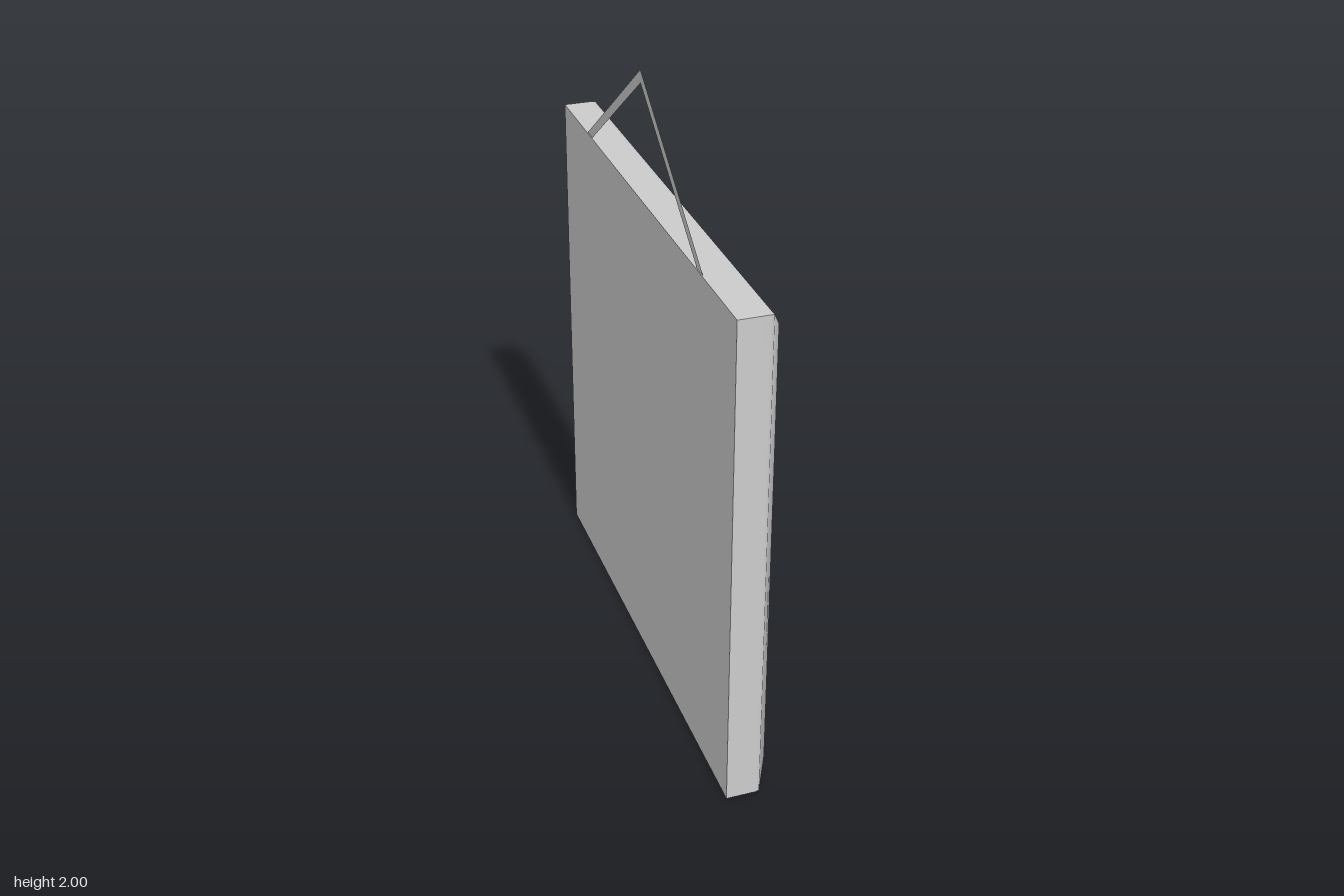
import * as THREE from 'three';
import { toCreasedNormals } from 'three/addons/utils/BufferGeometryUtils.js';

const HALF = 0.803;      // half of the frame's outer size
const BACK = -0.073;     // x of the back face
const OPENING = 0.68;    // half of the picture opening

// Square rings around the x axis, joined in order from back to front
function squareLoft(profile) {
  const corners = [[1, 1], [-1, 1], [-1, -1], [1, -1]]; // (z, y)
  const positions = [];
  const index = [];
  for (const [x, half] of profile) {
    for (const [z, y] of corners) positions.push(x, HALF + y * half, z * half);
  }
  for (let r = 0; r < profile.length - 1; r++) {
    for (let i = 0; i < 4; i++) {
      const a = r * 4 + i;
      const b = r * 4 + (i + 1) % 4;
      index.push(a, a + 4, b, b, a + 4, b + 4);
    }
  }
  const geometry = new THREE.BufferGeometry();
  geometry.setAttribute('position', new THREE.Float32BufferAttribute(positions, 3));
  geometry.setIndex(index);
  return toCreasedNormals(geometry, THREE.MathUtils.degToRad(60));
}

export function createModel() {
  const group = new THREE.Group();
  const material = new THREE.MeshStandardMaterial({ color: 0xcccccc });
  const thin = new THREE.MeshStandardMaterial({ color: 0xcccccc, side: THREE.DoubleSide });

  const add = (name, geometry, mat = material) => {
    const mesh = new THREE.Mesh(geometry, mat);
    mesh.name = name;
    group.add(mesh);
    return mesh;
  };

  // Frame: flat sides, softened bevel, flat front lip and recess wall
  add('frame', squareLoft([
    [BACK, HALF], [0.02, HALF], [0.031, HALF - 0.002],
    [0.071, 0.735], [0.071, OPENING], [0.046, OPENING],
  ]));

  // Picture panel, set back inside the frame
  const picture = add('picture', new THREE.PlaneGeometry(OPENING * 2, OPENING * 2));
  picture.rotation.y = Math.PI / 2;
  picture.position.set(0.046, HALF, 0);

  // Flat back board
  const back = add('backBoard', new THREE.PlaneGeometry(HALF * 2, HALF * 2));
  back.rotation.y = -Math.PI / 2;
  back.position.set(BACK, HALF, 0);

  // Hanging cord: a flat ribbon folded at the apex
  const cord = new THREE.Shape([
    [-0.545, 1.6], [0, 2], [0.555, 1.6], [0.505, 1.6], [0, 1.96], [-0.495, 1.6],
  ].map(([u, v]) => new THREE.Vector2(u, v)));
  const hanger = add('hangingCord', new THREE.ShapeGeometry(cord), thin);
  hanger.rotation.y = Math.PI / 2;
  hanger.position.x = BACK + 0.003;

  return group;
}
